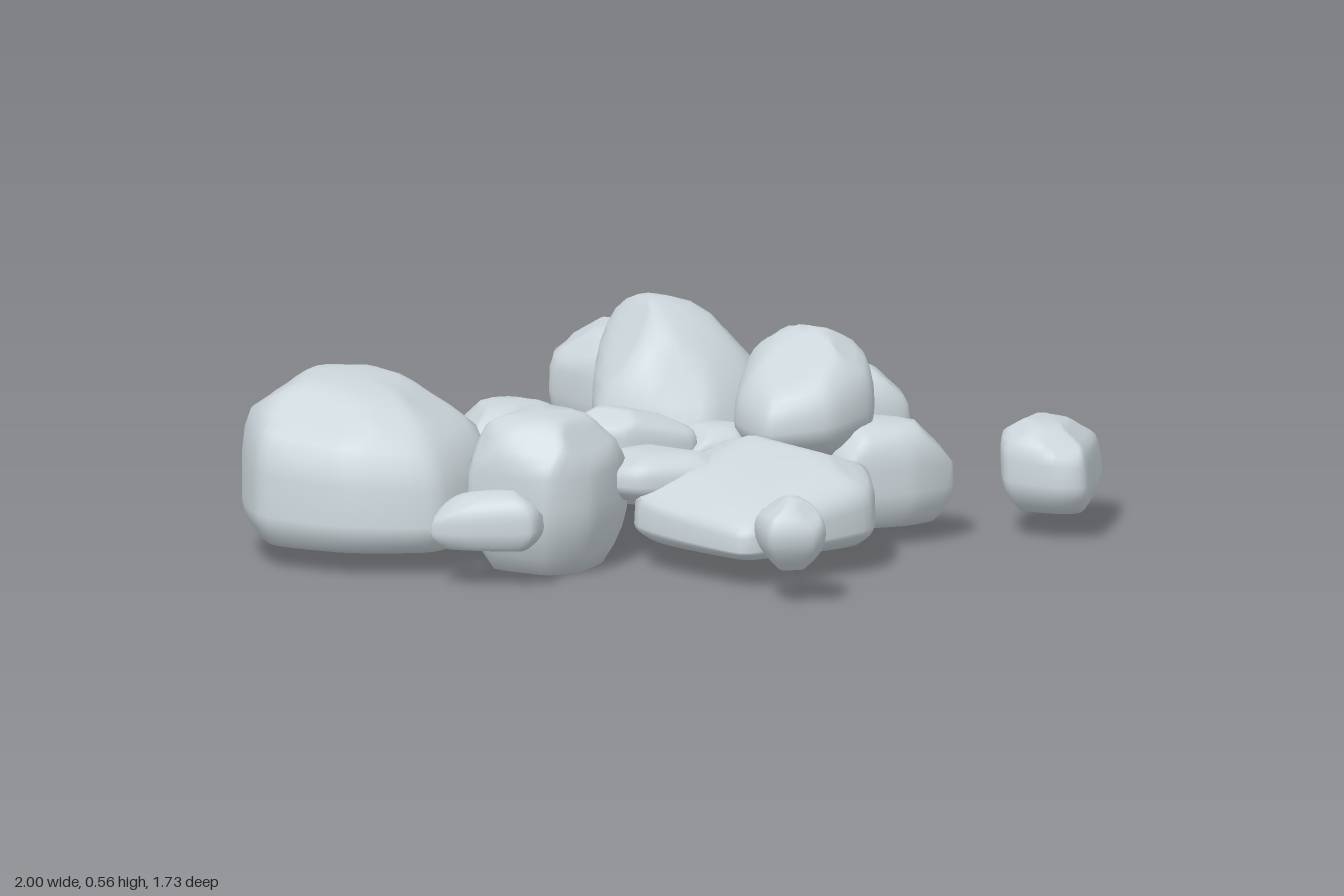
import * as THREE from 'three';

const STEPS = 42; // points around each ring

function seeded(seed) {
  return () => (seed = (seed * 16807) % 2147483647) / 2147483647;
}

// Height and width of the rings: a tucked base below the waist, a dome above.
// A low power gives a blocky dome, a high one a peaked dome.
function ringProfile(power, waist, tuck) {
  const rings = [[0, 0.35]];
  for (let i = 0; i < 4; i++) {
    const u = i / 4;
    rings.push([waist * u, 1 - tuck * (1 - u) ** 2]);
  }
  for (let i = 0; i < 9; i++) {
    const a = (i / 9) * (Math.PI / 2);
    rings.push([waist + (1 - waist) * Math.sin(a) ** power, Math.cos(a) ** power]);
  }
  return rings;
}

// Flattens a rock against slanted planes for broad, worn facets
function chipFacets(points, rand) {
  for (let k = 0; k < 6; k++) {
    const a = (k + rand() * 0.6) * 2.4;
    const n = new THREE.Vector3(Math.cos(a), 0.5 + rand() * 0.7, Math.sin(a)).normalize();
    const limit = Math.max(...points.map((p) => n.dot(p))) * 0.91;
    for (const p of points) {
      const over = n.dot(p) - limit;
      if (over > 0) p.addScaledVector(n, -over);
    }
  }
}

// Shapes one rock between two heights from the x, z corners of its outline
function rockGeometry([y0, y1], corners, { power = 0.7, waist = 0.35, tuck = 0.26, lean = [0, 0], tilt = [0, 0] }) {
  const outline = [];
  for (let i = 0; i < corners.length; i += 2) outline.push(new THREE.Vector3(corners[i], 0, corners[i + 1]));
  const target = new THREE.Box3().setFromPoints(outline);
  const centre = target.getCenter(new THREE.Vector3());
  const half = target.getSize(new THREE.Vector3()).multiplyScalar(0.5).setY(1);
  target.min.y = y0;
  target.max.y = y1;
  for (const p of outline) p.sub(centre).divide(half);
  const curve = new THREE.CatmullRomCurve3(outline, true, 'catmullrom', 0.3).getPoints(STEPS).slice(0, STEPS);

  // Stack the rings in unit space
  const rings = ringProfile(power, waist, tuck);
  const points = [];
  const place = (x, z, t) => {
    const px = x + lean[0] * t * t, pz = z + lean[1] * t * t;
    points.push(new THREE.Vector3(px, 2 * t - 0.7 + 2 * t * (tilt[0] * px + tilt[1] * pz), pz));
  };
  place(0, 0, 0);
  for (const [t, s] of rings) for (const p of curve) place(p.x * s, p.z * s, t);
  place(0, 0, 1);
  chipFacets(points, seeded(Math.round(1000 * (target.max.x + 2))));

  // Size the rock to its outline and heights
  const box = new THREE.Box3().setFromPoints(points);
  const scale = target.getSize(new THREE.Vector3()).divide(box.getSize(new THREE.Vector3()));
  for (const p of points) p.sub(box.min).multiply(scale).add(target.min);

  // Join the rings
  const index = [];
  const last = points.length - 1, top = 1 + (rings.length - 1) * STEPS;
  for (let i = 0; i < STEPS; i++) {
    const j = (i + 1) % STEPS;
    index.push(0, 1 + i, 1 + j, last, top + j, top + i);
    for (let a = 1 + i, b = 1 + j; a < top; a += STEPS, b += STEPS) {
      index.push(a, a + STEPS, b, b, a + STEPS, b + STEPS);
    }
  }
  const geometry = new THREE.BufferGeometry().setFromPoints(points);
  geometry.setIndex(index);
  geometry.computeVertexNormals();
  return geometry;
}

export function createModel() {
  const group = new THREE.Group();
  group.name = 'rockPile';
  const stone = new THREE.MeshStandardMaterial({ color: 0xcbd5da });
  stone.name = 'grey stone';
  // Outline corners run from the back round by the left of the model
  const rock = (name, heights, corners, shape = {}) => {
    const mesh = new THREE.Mesh(rockGeometry(heights, corners, shape), stone);
    mesh.name = name;
    group.add(mesh);
  };

  // Large boulders
  rock('largeBoulder', [0.06, 0.48], [-0.8, -0.81, -0.42, -0.73, -0.34, -0.4, -0.52, -0.2, -0.78, -0.16, -0.95, -0.35, -1, -0.6],
    { power: 0.65, waist: 0.2, tuck: 0.12, lean: [0.05, -0.12], tilt: [0, -0.12] });
  rock('tallBoulder', [0.05, 0.56], [0.3, -0.51, 0.53, -0.45, 0.55, -0.07, 0.35, 0.02, 0.12, -0.02, 0.01, -0.28],
    { power: 1, waist: 0.3, tuck: 0.2, lean: [0, -0.35] });
  rock('lowBoulder', [0, 0.41], [-0.5, -0.2, -0.28, -0.24, -0.27, 0.06, -0.5, 0.13, -0.64, 0.07, -0.67, -0.17],
    { power: 0.6, waist: 0.45, tuck: 0.32, lean: [0, -0.08] });

  // Stones heaped in the middle
  rock('leaningRock', [0.24, 0.55], [0.26, 0.01, 0.4, 0.03, 0.47, 0.12, 0.38, 0.34, 0.28, 0.43, 0.12, 0.42, 0, 0.3, 0.06, 0.14],
    { power: 0.85, tilt: [0.3, 0] });
  rock('centreSlab', [0.17, 0.37], [-0.08, -0.24, 0.03, -0.2, 0.09, -0.08, -0.04, 0.1, -0.22, 0.02, -0.27, -0.08, -0.22, -0.19],
    { power: 0.55, tilt: [-0.25, 0] });
  rock('frontSlab', [0.07, 0.31], [-0.35, 0.12, 0.1, 0.14, 0.15, 0.5, -0.02, 0.67, -0.32, 0.59, -0.41, 0.52],
    { power: 0.5, waist: 0.25, tuck: 0.15, tilt: [0.35, -0.18] });
  rock('wedgeStone', [0.17, 0.29], [-0.28, -0.05, -0.1, -0.02, -0.08, 0.25, -0.16, 0.31, -0.36, 0.17, -0.38, 0.05]);
  rock('hiddenStone', [0.17, 0.31], [0.02, -0.03, 0.13, 0, 0.17, 0.14, 0.04, 0.19, -0.07, 0.1]);
  rock('frontRock', [0.05, 0.32], [0.25, 0.24, 0.42, 0.26, 0.49, 0.47, 0.44, 0.57, 0.3, 0.55, 0.15, 0.43],
    { power: 0.6 });
  rock('sideRock', [0.06, 0.39], [0.6, -0.08, 0.7, 0.13, 0.6, 0.29, 0.43, 0.2, 0.45, -0.01],
    { power: 0.6, waist: 0.4 });
  rock('backRock', [0.1, 0.33], [-0.13, -0.64, 0.05, -0.52, 0.03, -0.37, -0.15, -0.29, -0.28, -0.34, -0.33, -0.46]);

  // Outlying rocks and pebbles
  rock('backCornerRock', [0.06, 0.39], [0.6, -0.87, 0.68, -0.83, 0.82, -0.55, 0.72, -0.4, 0.41, -0.57, 0.44, -0.8],
    { power: 0.6, waist: 0.45, tuck: 0.35, tilt: [0, -0.06] });
  rock('frontCornerRock', [0.07, 0.3], [0.68, 0.53, 0.85, 0.53, 0.91, 0.68, 0.64, 0.86, 0.56, 0.81, 0.53, 0.66],
    { power: 0.6, lean: [0, -0.15], tilt: [-0.1, -0.06] });
  rock('leftPebble', [0.1, 0.25], [-0.78, -0.14, -0.66, 0.04, -0.68, 0.11, -0.76, 0.13, -0.86, -0.02, -0.89, -0.11],
    { tilt: [0.15, 0] });
  rock('backPebble', [0.1, 0.23], [0.88, -0.64, 0.97, -0.62, 1, -0.46, 0.93, -0.43, 0.83, -0.5],
    { tuck: 0.4, tilt: [-0.2, 0] });
  rock('frontPebble', [0.09, 0.28], [-0.46, 0.63, -0.39, 0.64, -0.33, 0.72, -0.4, 0.83, -0.46, 0.84, -0.54, 0.75],
    { power: 1, waist: 0.5, tuck: 0.6 });
  return group;
}
